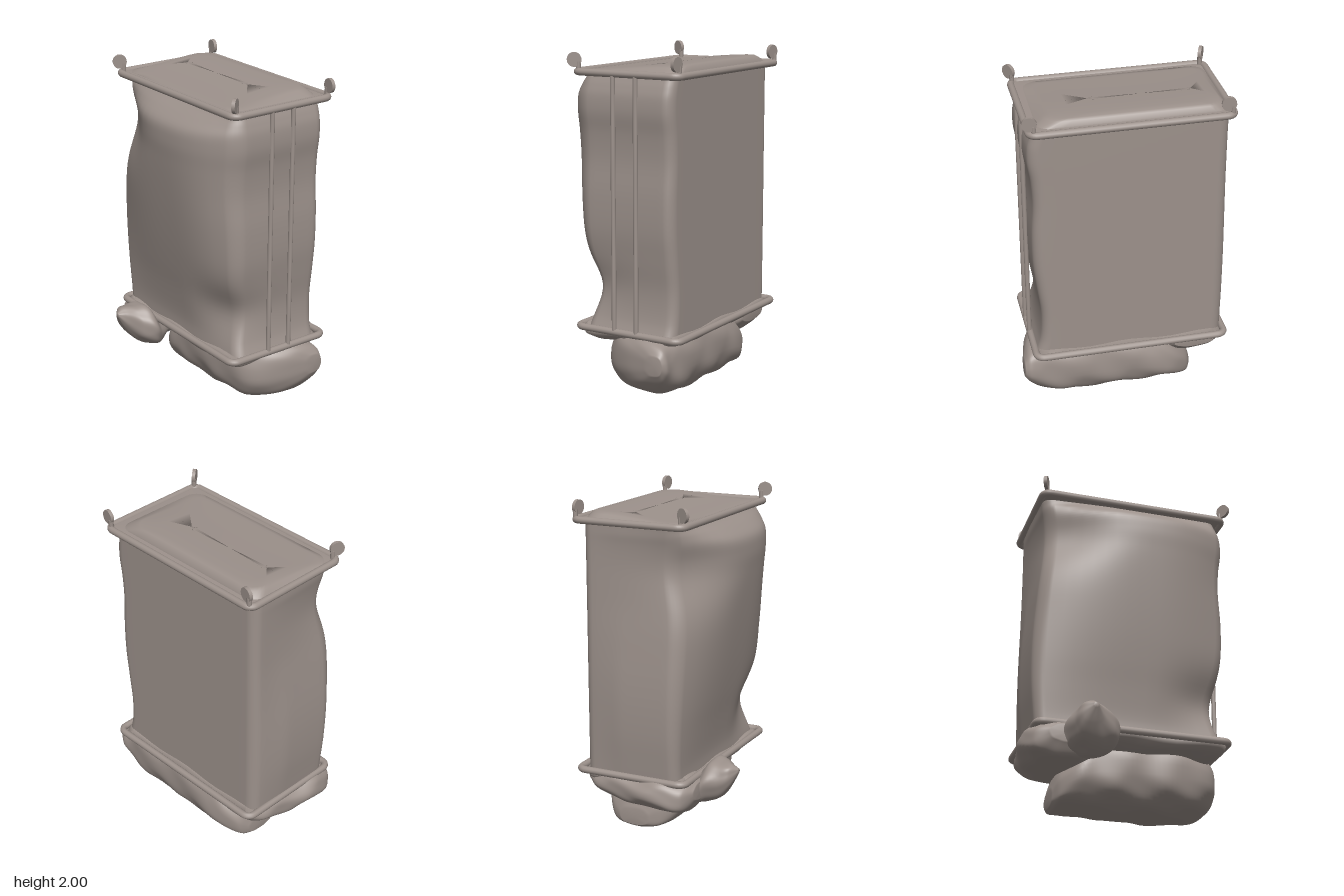
import * as THREE from 'three';

const fabric = new THREE.MeshStandardMaterial({ color: 0x9c918b, side: THREE.DoubleSide });
fabric.name = 'grey brown';
const { clamp, smoothstep } = THREE.MathUtils;

// Rounded rectangle in plan, counter-clockwise from above
function outline(x0, x1, z0, z1, r, side = 10) {
  const centres = [[x1 - r, z0 + r], [x0 + r, z0 + r], [x0 + r, z1 - r], [x1 - r, z1 - r]];
  const pts = [];
  centres.forEach(([cx, cz], k) => {
    const arc = [];
    for (let i = 0; i <= 6; i++) {
      const a = (k + i / 6) * Math.PI / 2;
      arc.push(new THREE.Vector2(cx + r * Math.cos(a), cz - r * Math.sin(a)));
    }
    if (pts.length) {
      const last = pts[pts.length - 1];
      for (let i = 1; i < side; i++) pts.push(last.clone().lerp(arc[0], i / side));
    }
    pts.push(...arc);
  });
  const last = pts[pts.length - 1].clone();
  for (let i = 1; i < side; i++) pts.push(last.clone().lerp(pts[0], i / side));
  return pts;
}

// Smooth skin over a list of closed rings, capped at both ends
function loft(rings) {
  const n = rings[0].length, m = rings.length, pos = [], idx = [];
  rings.forEach(r => r.forEach(p => pos.push(p.x, p.y, p.z)));
  for (let i = 0; i < m - 1; i++) {
    for (let j = 0; j < n; j++) {
      const a = i * n + j, b = i * n + (j + 1) % n;
      idx.push(a, b, b + n, a, b + n, a + n);
    }
  }
  [0, m - 1].forEach(i => {
    const c = new THREE.Vector3();
    rings[i].forEach(p => c.addScaledVector(p, 1 / n));
    const k = pos.length / 3;
    pos.push(c.x, c.y, c.z);
    for (let j = 0; j < n; j++) {
      const a = i * n + j, b = i * n + (j + 1) % n;
      if (i) idx.push(k, a, b); else idx.push(k, b, a);
    }
  });
  const g = new THREE.BufferGeometry();
  g.setAttribute('position', new THREE.Float32BufferAttribute(pos, 3));
  g.setIndex(idx);
  g.computeVertexNormals();
  return g;
}

// Crumpled cloth roll along x or z; sections are [position, c1, c2, r1, r2]
function clothRoll(axis, sections, power, crumple) {
  const centre = new THREE.CatmullRomCurve3(sections.map(s => new THREE.Vector3(s[0], s[1], s[2])));
  const radii = new THREE.CatmullRomCurve3(sections.map(s => new THREE.Vector3(s[0], s[3], s[4])));
  const rings = [], steps = 56, n = 64;
  const bend = v => Math.sign(v) * Math.abs(v) ** (2 / power);
  for (let i = 0; i <= steps; i++) {
    const c = centre.getPoint(i / steps), r = radii.getPoint(i / steps);
    const ring = [];
    for (let j = 0; j < n; j++) {
      const t = j / n * Math.PI * 2;
      const fold = 1 + crumple * (Math.sin(3 * t + c.x * 9) * Math.sin(c.x * 13 + 1)
        + 0.6 * Math.sin(7 * t - c.x * 17) - 0.8 * Math.abs(Math.sin(2 * t + c.x * 11)));
      const a = c.y + Math.max(r.y, 0.004) * bend(Math.cos(t)) * fold;
      const b = c.z + Math.max(r.z, 0.004) * bend(Math.sin(t)) * fold;
      ring.push(axis === 'z' ? new THREE.Vector3(a, Math.max(b, 0), c.x) : new THREE.Vector3(c.x, a, b));
    }
    rings.push(ring);
  }
  return loft(rings);
}

// Hanging bag: flat right wall, bulging left wall, slightly wavy front and back
function bagGeometry() {
  // [left bulge, height, front offset, back offset]
  const rows = [[0.01, 0.38, 0.03, 0.02], [0.01, 0.48, 0, 0.03], [0.035, 0.65, -0.01, 0.045],
    [0.07, 0.83, 0.01, 0.05], [0.1, 1, 0.028, 0.045], [0.13, 1.2, 0.03, 0.03], [0.155, 1.4, 0.018, 0.015],
    [0.17, 1.55, 0.025, 0.012], [0.178, 1.67, 0.042, 0.012], [0.165, 1.76, 0.04, 0.015],
    [0.1, 1.82, 0.025, 0.02], [0.03, 1.86, 0.01, 0.02], [0, 1.885, 0, 0.02]];
  const shape = new THREE.CatmullRomCurve3(rows.map(r => new THREE.Vector3(r[0], r[1], r[2])));
  const rear = new THREE.CatmullRomCurve3(rows.map(r => new THREE.Vector3(r[3], r[1], 0)));
  const base = outline(-0.2, 0.4, -0.555, 0.54, 0.06, 14);
  const rings = [];
  for (let i = 0; i <= 60; i++) {
    const s = shape.getPoint(i / 60), back = rear.getPoint(i / 60).x;
    const lowPinch = 0.07 * Math.exp(-(((s.y - 0.64) / 0.17) ** 2));
    const high = Math.exp(-(((s.y - 1.64) / 0.22) ** 2));
    rings.push(base.map(p => {
      const across = clamp((0.4 - p.x) / 0.6, 0, 1);
      const d = p.y - 0.05;
      const belly = Math.max(0, 1 - Math.abs(d / (d > 0 ? 0.5 : 0.62)) ** (d > 0 ? 3 : 3 - 1.3 * high));
      const bulgeBack = 0.01 + (back - 0.01) * Math.min(1, across * 2.5);
      const dz = p.y > 0 ? s.z * (p.y / 0.54) ** 2 : -bulgeBack * (p.y / 0.555) ** 2;
      // Drawn-in corners: low at the front left, high at the rear left
      const front = lowPinch * across ** 3 * smoothstep(p.y, 0.1, 0.54);
      const rearPinch = 0.06 * high * across ** 2 * smoothstep(-p.y, 0.1, 0.55);
      return new THREE.Vector3(p.x - Math.max(0, s.x) * across ** 1.5 * belly + front + rearPinch,
        s.y, p.y + dz - front * 0.5 + rearPinch * 0.6);
    }));
  }
  // Padded top, highest along the right and rear, sloping away at the front
  const lid = [[0.005, 1.9, 0.004], [0.03, 1.902, 0.025], [0.05, 1.904, 0.034], [0.12, 1.905, 0.034], [0.22, 1.905, 0.034]];
  lid.forEach(([d, y, tilt]) => {
    rings.push(outline(-0.2 + d, 0.4 - d * 0.6, -0.56 + d * 0.8, 0.52 - d * 1.6, 0.08 + d * 0.3, 14).map(p =>
      new THREE.Vector3(p.x, y + tilt * smoothstep(p.x, -0.2, 0.34), p.y)));
  });
  return loft(rings);
}

export function createModel() {
  const model = new THREE.Group();
  const add = (name, geometry, parent = model) => {
    const mesh = new THREE.Mesh(geometry, fabric);
    mesh.name = name;
    parent.add(mesh);
    return mesh;
  };

  add('bag', bagGeometry());

  // Upper and lower frame hoops
  for (const [name, y] of [['upperHoop', 1.89], ['lowerHoop', 0.4]]) {
    const pts = outline(-0.242, 0.446, -0.579, 0.576, 0.045, 8).map(p => new THREE.Vector3(p.x, y, p.y));
    add(name, new THREE.TubeGeometry(new THREE.CatmullRomCurve3(pts, true), 400, 0.021, 12, true));
  }

  // Cloth collar stretched across the upper hoop
  add('collar', loft([1.882, 1.897].map(y =>
    outline(-0.24, 0.44, -0.577, 0.574, 0.045).map(p => new THREE.Vector3(p.x, y, p.y)))));

  // Front rods joining the hoops
  for (const x of [0.02, 0.17]) {
    add('frontRod', new THREE.CylinderGeometry(0.014, 0.014, 1.49, 12)).position.set(x, 1.145, 0.58);
  }

  // Corner tabs: thin discs on short necks
  for (const [x, z, turn] of [[-0.24, -0.565, -0.46], [-0.24, 0.58, 0.64], [0.435, -0.54, 1.4], [0.435, 0.575, 1.45]]) {
    const tab = new THREE.Group();
    tab.name = 'cornerTab';
    tab.position.set(x, 1.9, z);
    tab.rotation.y = turn;
    add('tabDisc', new THREE.CylinderGeometry(0.042, 0.042, 0.02, 20).rotateX(Math.PI / 2), tab).position.y = 0.058;
    add('tabNeck', new THREE.CylinderGeometry(0.014, 0.014, 0.07, 10), tab).position.set(0.024, 0.012, 0);
    model.add(tab);
  }

  // Cloth gathered just below the lower hoop
  const skirt = [[0.14, 0.325], [0.05, 0.335], [0.01, 0.36], [0, 0.39], [0.02, 0.41]].map(([d, y]) =>
    outline(-0.235 + d, 0.42 - d, -0.575 + d, 0.57 - d, 0.06, 12).map(p =>
      new THREE.Vector3(p.x, y + 0.008 * Math.sin(p.x * 19 + p.y * 13), p.y)));
  add('gatheredCloth', loft(skirt));

  // Long sagging roll of loose cloth, filling up into the hoop
  add('hangingRoll', clothRoll('z', [
    [-0.41, 0.17, 0.08, 0.09, 0.05], [-0.38, 0.16, 0.115, 0.17, 0.105], [-0.29, 0.15, 0.17, 0.24, 0.16],
    [-0.18, 0.15, 0.215, 0.26, 0.205], [-0.05, 0.148, 0.23, 0.265, 0.225], [0.1, 0.148, 0.235, 0.265, 0.23],
    [0.28, 0.148, 0.235, 0.265, 0.228], [0.45, 0.165, 0.235, 0.25, 0.205], [0.55, 0.2, 0.24, 0.2, 0.165],
    [0.61, 0.26, 0.255, 0.14, 0.115], [0.645, 0.33, 0.26, 0.05, 0.055]], 2.5, 0.022));

  // Rear fold of cloth
  add('rearFold', clothRoll('x', [
    [-0.28, 0.33, -0.42, 0.05, 0.09], [-0.23, 0.31, -0.43, 0.105, 0.17], [-0.1, 0.32, -0.43, 0.115, 0.215],
    [0.06, 0.32, -0.42, 0.115, 0.205], [0.22, 0.325, -0.41, 0.11, 0.19], [0.34, 0.335, -0.4, 0.09, 0.17],
    [0.4, 0.35, -0.4, 0.05, 0.13]], 2.3, 0.03));

  // Twisted end of cloth poking out at the left
  add('twistedEnd', clothRoll('x', [
    [-0.47, 0.44, -0.3, 0.012, 0.012], [-0.43, 0.41, -0.31, 0.065, 0.065], [-0.37, 0.375, -0.28, 0.11, 0.125],
    [-0.3, 0.355, -0.27, 0.13, 0.16], [-0.24, 0.31, -0.29, 0.1, 0.15], [-0.12, 0.3, -0.34, 0.07, 0.1]], 2.1, 0.035));

  return model;
}
